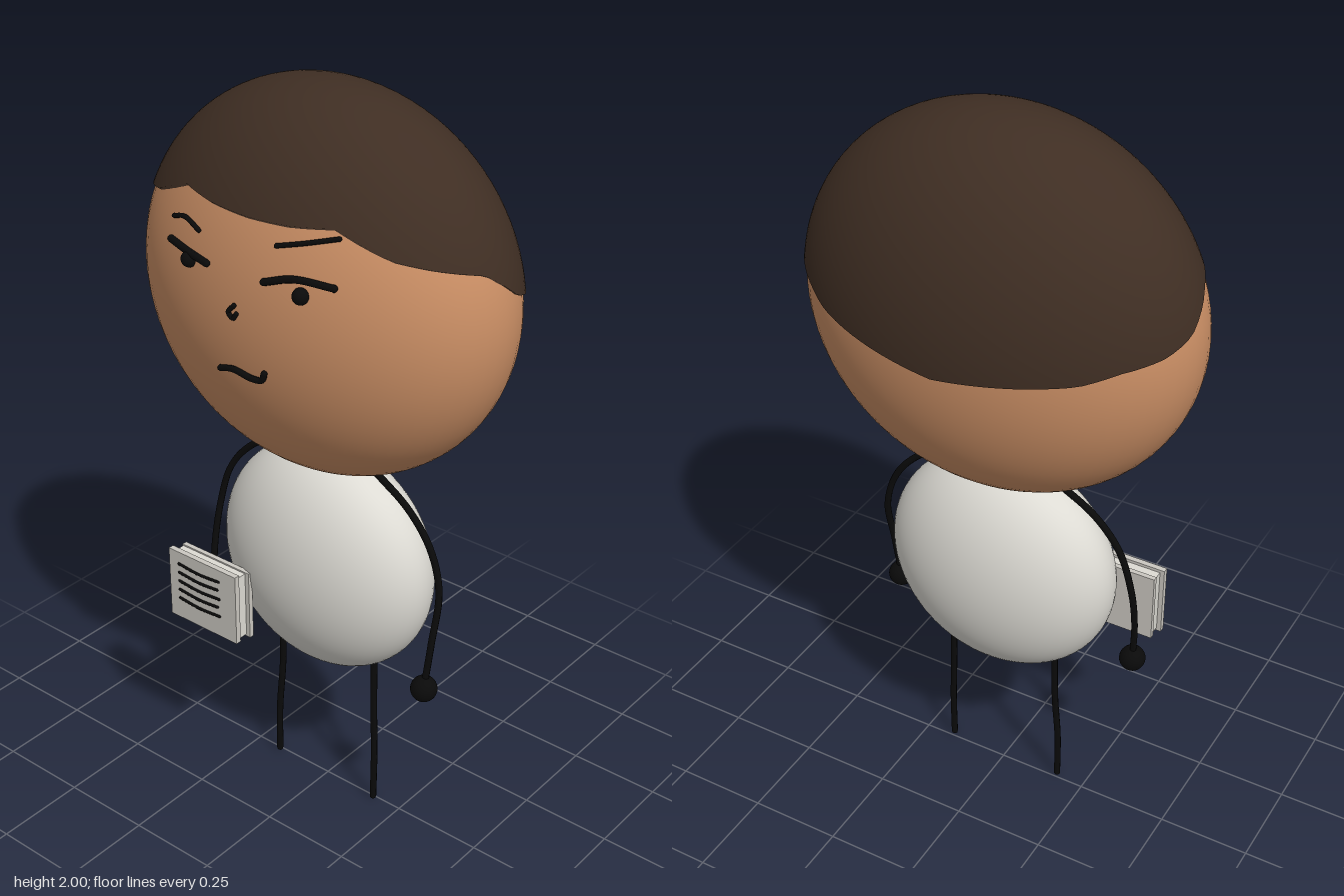
import * as THREE from 'three';

const mat = (name, color) => {
  const m = new THREE.MeshStandardMaterial({ color });
  m.name = name;
  return m;
};

const HEAD = { x: 0.519, y: 0.49, z: 0.327, cy: 1.5 };
const HAIR = { x: 0.524, y: 0.5, z: 0.337 };

// Hairline height by angle in degrees from the front (0) to the back (180)
const HAIRLINE = [[0, 1.752], [15, 1.755], [30, 1.765], [40, 1.732], [48, 1.708], [60, 1.69],
  [81, 1.662], [90, 1.625], [99, 1.585], [112, 1.558], [128, 1.54], [140, 1.512], [160, 1.49], [180, 1.468]];

function hairlineAt(deg) {
  for (let i = 1; i < HAIRLINE.length; i++) {
    const [a0, y0] = HAIRLINE[i - 1], [a1, y1] = HAIRLINE[i];
    if (deg <= a1) return y0 + (y1 - y0) * (deg - a0) / (a1 - a0);
  }
  return HAIRLINE[HAIRLINE.length - 1][1];
}

// Cap of an ellipsoid trimmed at the hairline, with its last ring tucked into the head
function hairGeometry() {
  const cols = 96, rows = 24;
  const geo = new THREE.SphereGeometry(1, cols, rows);
  const { position, normal } = geo.attributes;
  for (let r = 0; r <= rows; r++) {
    for (let c = 0; c <= cols; c++) {
      const a = (c / cols) * Math.PI * 2 - Math.PI;
      const line = hairlineAt(Math.abs(a) * 180 / Math.PI);
      const end = Math.acos((line - HEAD.cy) / HAIR.y);
      const theta = end * Math.min(1, r / (rows - 1));
      const k = r === rows ? 0.96 : 1;
      const x = Math.sin(theta) * Math.sin(a), y = Math.cos(theta), z = Math.sin(theta) * Math.cos(a);
      const i = r * (cols + 1) + c;
      position.setXYZ(i, x * k, y * k, z * k);
      normal.setXYZ(i, x, y, z);
    }
  }
  // The bottom row of a sphere has only one triangle per cell, so index every cell anew
  const index = [];
  for (let r = 0; r < rows; r++) {
    for (let c = 0; c < cols; c++) {
      const p = r * (cols + 1) + c, q = p + cols + 1;
      index.push(p, q, p + 1, q, q + 1, p + 1);
    }
  }
  geo.setIndex(index);
  return geo.scale(HAIR.x, HAIR.y, HAIR.z);
}

// Point on the front of the face
function onFace(x, y, lift = 0.006) {
  const d = 1 - (x / HEAD.x) ** 2 - ((y - HEAD.cy) / HEAD.y) ** 2;
  return new THREE.Vector3(x, y, HEAD.z * Math.sqrt(d) + lift);
}

export function createModel() {
  const skin = mat('skin', 0xcb8f65);
  const brown = mat('hairBrown', 0x3f2e23);
  brown.side = THREE.DoubleSide;
  const white = mat('shirtWhite', 0xdddbd4);
  const paper = mat('paperGrey', 0xcbc8c1);
  const black = mat('black', 0x0a0a0a);

  const model = new THREE.Group();
  model.name = 'figure';
  const add = (name, geo, material, x = 0, y = 0, z = 0, parent = model) => {
    const m = new THREE.Mesh(geo, material);
    m.name = name;
    m.position.set(x, y, z);
    parent.add(m);
    return m;
  };
  const ellipsoid = (x, y, z) => new THREE.SphereGeometry(1, 64, 40).scale(x, y, z);

  // Rounded stroke along points
  const stroke = (name, points, radius, parent = model) => {
    const curve = new THREE.CatmullRomCurve3(points, false, 'centripetal');
    const g = new THREE.Group();
    g.name = name;
    add(name + 'Line', new THREE.TubeGeometry(curve, 32, radius, 8), black, 0, 0, 0, g);
    for (const p of [points[0], points[points.length - 1]]) {
      add(name + 'Tip', new THREE.SphereGeometry(radius, 8, 6), black, p.x, p.y, p.z, g);
    }
    parent.add(g);
  };

  // Head, hair and body
  add('head', ellipsoid(HEAD.x, HEAD.y, HEAD.z), skin, 0, HEAD.cy);
  add('hair', hairGeometry(), brown, 0, HEAD.cy);
  add('body', ellipsoid(0.32, 0.32, 0.178), white, 0, 0.727);

  // Face strokes
  const face = new THREE.Group();
  face.name = 'face';
  model.add(face);
  const strokes = {
    rightBrow: [0.006, [-0.245, 1.685], [-0.2, 1.697], [-0.14, 1.684]],
    leftBrow: [0.006, [0.095, 1.708], [0.16, 1.725], [0.235, 1.745]],
    rightEyelid: [0.009, [-0.245, 1.632], [-0.17, 1.627], [-0.1, 1.62]],
    leftEyelid: [0.009, [0.075, 1.623], [0.15, 1.645], [0.245, 1.641]],
    nose: [0.006, [-0.005, 1.547], [-0.022, 1.527], [-0.008, 1.515], [0.002, 1.528]],
    mouth: [0.008, [-0.065, 1.366], [-0.02, 1.378], [0.035, 1.37], [0.065, 1.375], [0.074, 1.395]],
  };
  for (const [name, [radius, ...pts]] of Object.entries(strokes)) {
    stroke(name, pts.map(([x, y]) => onFace(x, y)), radius, face);
  }
  for (const [name, x] of [['rightPupil', -0.165], ['leftPupil', 0.17]]) {
    const p = onFace(x, 1.61, 0.004);
    add(name, new THREE.SphereGeometry(0.02, 20, 14), black, p.x, p.y, p.z, face);
  }

  // Thin limbs and round hands
  for (const [side, s] of [['left', 1], ['right', -1]]) {
    const v = (x, y, z) => new THREE.Vector3(s * x, y, z);
    stroke(side + 'Arm', [v(0.15, 1.025, 0), v(0.26, 0.955, 0.003), v(0.33, 0.87, 0.005),
      v(0.365, 0.76, 0.01), v(0.368, 0.62, 0.04), v(0.36, 0.49, 0.055)], 0.009);
    add(side + 'Hand', new THREE.SphereGeometry(0.035, 24, 16), black, s * 0.36, 0.488, 0.055);
    stroke(side + 'Leg', [v(0.156, 0.52, 0), v(0.16, 0.3, 0.002), v(0.168, 0.15, 0.008),
      v(0.168, 0.009, 0.01)], 0.009);
  }

  // Notepad: back cover, page block and front sheet with ruled strokes
  const pad = new THREE.Group();
  pad.name = 'notepad';
  model.add(pad);
  add('backCover', new THREE.BoxGeometry(0.235, 0.2, 0.014), paper, -0.25, 0.586, 0.158, pad);
  add('pages', new THREE.BoxGeometry(0.22, 0.19, 0.03), white, -0.255, 0.587, 0.178, pad);
  add('frontSheet', new THREE.BoxGeometry(0.235, 0.207, 0.016), paper, -0.26, 0.587, 0.199, pad);
  for (let i = 0; i < 5; i++) {
    const y = 0.655 - i * 0.027, end = -0.2 - (i % 2) * 0.006;
    stroke('writtenLine', [[-0.342, y], [-0.27, y - 0.005], [end, y]]
      .map(([x, h]) => new THREE.Vector3(x, h, 0.208)), 0.004, pad);
  }
  return model;
}
